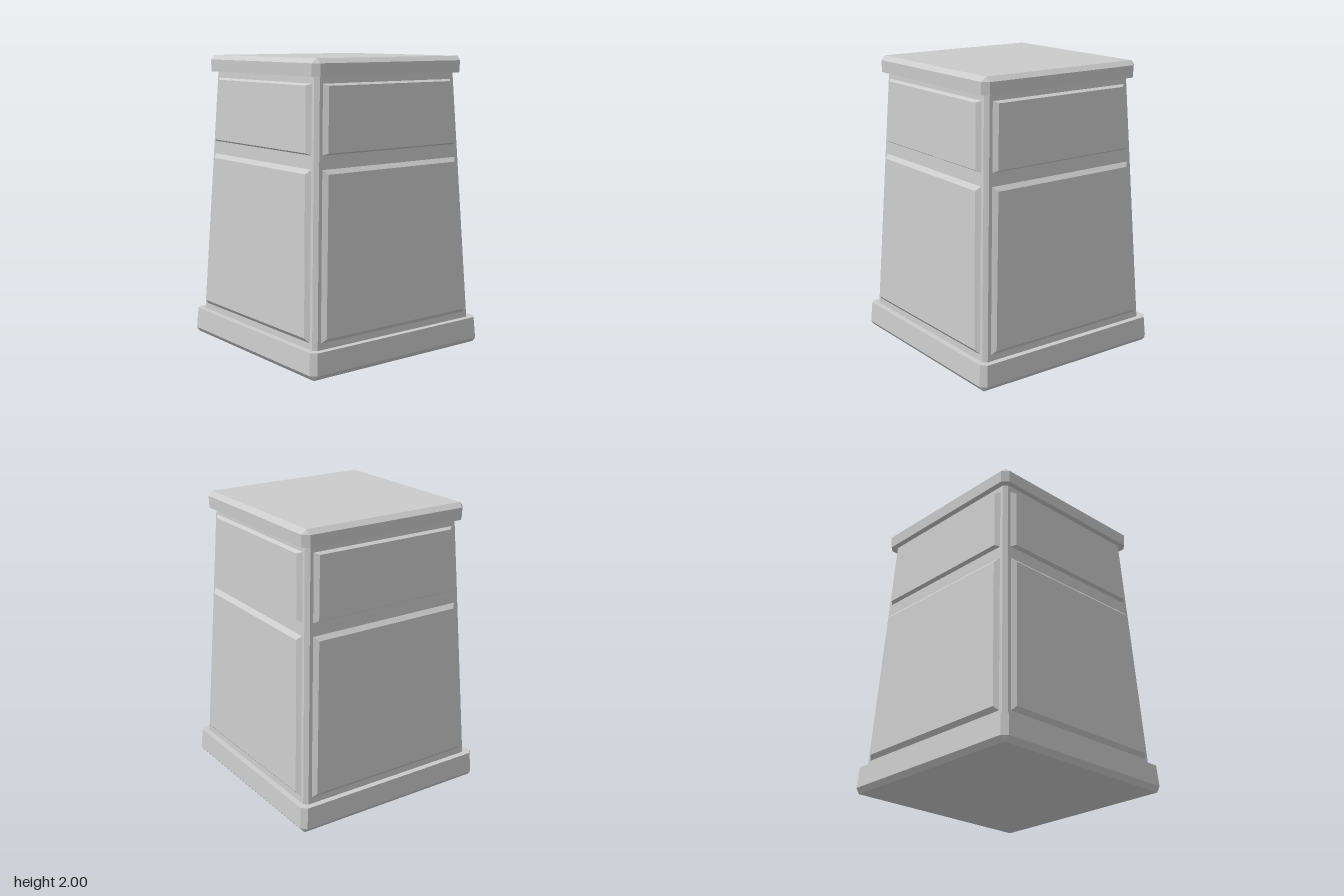
import * as THREE from 'three';

const material = new THREE.MeshStandardMaterial({ color: 0xcccccc, flatShading: true });

// Joins rings of points (counter-clockwise about the stacking direction) and caps both ends
function loft(rings) {
  const pos = [];
  const tri = (...pts) => pts.forEach((p) => pos.push(...p));
  const n = rings[0].length;
  for (let r = 0; r < rings.length - 1; r++) {
    const lo = rings[r], hi = rings[r + 1];
    for (let i = 0; i < n; i++) {
      const j = (i + 1) % n;
      tri(lo[i], lo[j], hi[j]);
      tri(lo[i], hi[j], hi[i]);
    }
  }
  const first = rings[0], last = rings[rings.length - 1];
  for (let i = 1; i < n - 1; i++) {
    tri(first[0], first[i + 1], first[i]);
    tri(last[0], last[i], last[i + 1]);
  }
  const geo = new THREE.BufferGeometry();
  geo.setAttribute('position', new THREE.Float32BufferAttribute(pos, 3));
  geo.computeVertexNormals();
  return geo;
}

// Horizontal square ring with cut corners
function squareRing([y, half, cut]) {
  const h = half, k = half - cut;
  return [[h, k], [h, -k], [k, -h], [-k, -h], [-h, -k], [-h, k], [-k, h], [k, h]]
    .map(([x, z]) => [x, y, z]);
}

function addMesh(parent, name, geo) {
  const mesh = new THREE.Mesh(geo, material);
  mesh.name = name;
  parent.add(mesh);
}

// Half width of the tapering body at a given height
const bodyHalf = (y) => 0.677 + (y - 0.18) * (0.587 - 0.677) / (1.89 - 0.18);

// Raised panel with bevelled edges lying on the sloping front face
function panelGeometry(y0, y1, w0, w1, bevelY) {
  const ring = (inset, insetY, depth) =>
    [[-w0 + inset, y0 + insetY], [w0 - inset, y0 + insetY], [w1 - inset, y1 - insetY], [-w1 + inset, y1 - insetY]]
      .map(([x, y]) => [x, y, bodyHalf(y) + depth]);
  return loft([ring(0, 0, -0.002), ring(0.03, bevelY, 0.026)]);
}

export function createModel() {
  const model = new THREE.Group();
  model.name = 'pedestal';

  // Plinth, tapering body and top slab
  const blocks = {
    base: [[0, 0.7, 0], [0.035, 0.728, 0.035], [0.18, 0.718, 0.035]],
    body: [[0.17, bodyHalf(0.17), 0.025], [1.9, bodyHalf(1.9), 0.025]],
    topSlab: [[1.887, 0.627, 0.04], [1.97, 0.63, 0.04], [2, 0.597, 0]],
  };
  for (const [name, levels] of Object.entries(blocks)) {
    addMesh(model, name, loft(levels.map(squareRing)));
  }

  // The same two panels on each of the four sides
  const lower = panelGeometry(0.22, 1.315, 0.627, 0.57, 0.031);
  const upper = panelGeometry(1.4, 1.845, 0.566, 0.543, 0.014);
  ['front', 'left', 'back', 'right'].forEach((side, i) => {
    const group = new THREE.Group();
    group.name = side + 'Panels';
    group.rotation.y = i * Math.PI / 2;
    addMesh(group, side + 'LowerPanel', lower);
    addMesh(group, side + 'UpperPanel', upper);
    model.add(group);
  });
  return model;
}
